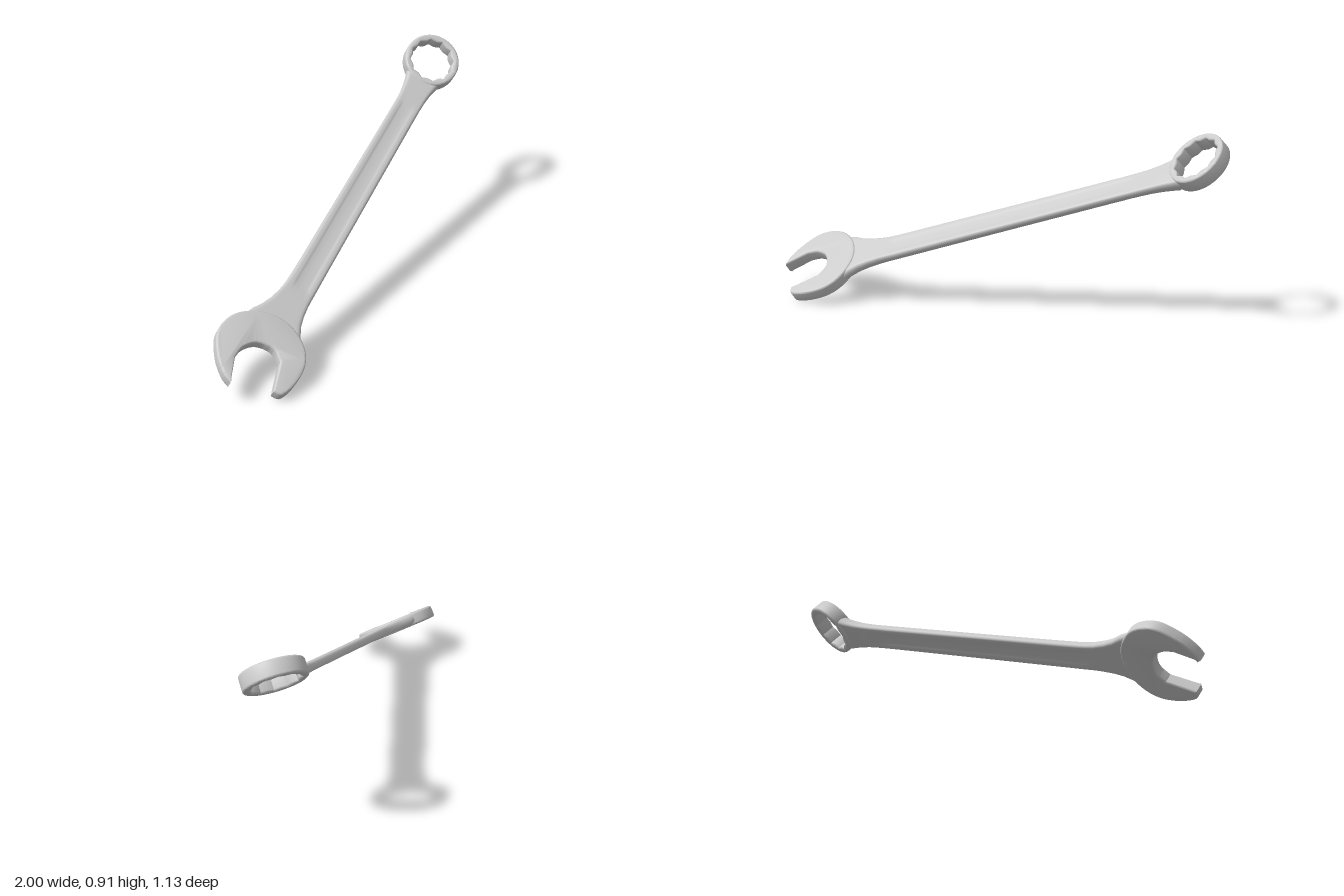
import * as THREE from 'three';
import { toCreasedNormals } from 'three/addons/utils/BufferGeometryUtils.js';

const material = new THREE.MeshStandardMaterial({ color: 0xcccccc, roughness: 0.5, metalness: 0.2 });

const points = (list) => list.map(([x, y]) => new THREE.Vector2(x, y));

// Flat part of a given thickness, centred on z = 0, with rounded rims
function plate(shape, thickness, bevel, curveSegments) {
  const geometry = new THREE.ExtrudeGeometry(shape, {
    depth: thickness - 2 * bevel,
    bevelThickness: bevel,
    bevelSize: bevel,
    bevelOffset: -bevel,
    bevelSegments: 4,
    curveSegments,
  });
  geometry.translate(0, 0, bevel - thickness / 2);
  return toCreasedNormals(geometry, 0.6);
}

// Open jaw, its mouth turned 15 degrees from the handle
function openJaw() {
  const shape = new THREE.Shape();
  shape.moveTo(-1.132, 0.056);
  shape.lineTo(-1.015, 0.096);
  shape.splineThru(points([[-0.954, 0.088], [-0.9, 0.044], [-0.887, -0.03], [-0.924, -0.083]]));
  shape.lineTo(-1.064, -0.122);
  shape.splineThru(points([
    [-1.052, -0.165], [-0.968, -0.19], [-0.872, -0.186], [-0.8, -0.145], [-0.75, -0.07], [-0.735, 0.02],
    [-0.765, 0.12], [-0.842, 0.2], [-0.95, 0.22], [-1.047, 0.17], [-1.11, 0.105], [-1.132, 0.056],
  ]));
  const mesh = new THREE.Mesh(plate(shape, 0.062, 0.011, 8), material);
  mesh.name = 'openJaw';
  return mesh;
}

// Ring end with a twelve-point hole, tilted up from the handle
function ringEnd() {
  const shape = new THREE.Shape();
  shape.absarc(0, 0, 0.141, 0, Math.PI * 2);
  const hole = [];
  for (let i = 0; i < 24; i++) {
    const r = i % 2 ? 0.104 : 0.114;
    const angle = (i / 24) * Math.PI * 2;
    hole.push(new THREE.Vector2(r * Math.cos(angle), r * Math.sin(angle)));
  }
  shape.holes.push(new THREE.Path(hole));
  const mesh = new THREE.Mesh(plate(shape, 0.076, 0.01, 40), material);
  mesh.position.set(1.02, 0.012, 0.029);
  mesh.rotation.y = -Math.PI / 12;
  mesh.name = 'ringEnd';
  return mesh;
}

// Handle lofted along x, flaring into both heads, with a shallow groove on each face
function handle() {
  // position, lower edge, upper edge, half thickness, groove depth, bow of the section
  const stations = [
    [-0.79, -0.13, 0.155, 0.026, 0, 0],
    [-0.755, -0.108, 0.143, 0.025, 0, 0],
    [-0.71, -0.088, 0.117, 0.024, 0, 0],
    [-0.66, -0.077, 0.097, 0.023, 0, 0],
    [-0.6, -0.071, 0.082, 0.022, 0, 0],
    [-0.56, -0.07, 0.076, 0.021, 0.02, 0],
    [-0.52, -0.07, 0.073, 0.021, 0.28, 0],
    [-0.4, -0.069, 0.071, 0.021, 0.28, 0],
    [0.1, -0.067, 0.069, 0.02, 0.28, 0],
    [0.62, -0.065, 0.067, 0.02, 0.28, 0],
    [0.68, -0.065, 0.067, 0.02, 0.24, 0],
    [0.72, -0.065, 0.067, 0.021, 0, 0],
    [0.78, -0.067, 0.07, 0.022, 0, 0.5],
    [0.83, -0.072, 0.077, 0.025, 0, 1.5],
    [0.87, -0.08, 0.088, 0.028, 0, 2.5],
    [0.897, -0.087, 0.102, 0.03, 0, 3],
  ];
  // half section: across, height, share of the groove
  const half = [
    [1, 0, 0], [0.985, 0.45, 0], [0.94, 0.8, 0], [0.86, 0.97, 0], [0.76, 1, 0], [0.6, 1, 0],
    [0.5, 1, 0.4], [0.38, 1, 1], [0, 1, 1],
  ];
  const top = [...half, ...half.slice(0, -1).reverse().map(([x, y, g]) => [-x, y, g])];
  const section = [...top, ...top.slice(1, -1).reverse().map(([x, y, g]) => [x, -y, g])];

  const position = [];
  const index = [];
  const n = section.length;
  stations.forEach(([a, low, high, thick, groove, bow], i) => {
    section.forEach(([across, up, g], j) => {
      const b = (low + high) / 2 + (across * (high - low)) / 2;
      position.push(a + bow * b * b, b, thick * up * (1 - groove * g));
      if (i === stations.length - 1) return;
      const p = i * n + j;
      const q = i * n + ((j + 1) % n);
      index.push(p, q, p + n, q, q + n, p + n);
    });
  });
  const geometry = new THREE.BufferGeometry();
  geometry.setAttribute('position', new THREE.Float32BufferAttribute(position, 3));
  geometry.setIndex(index);
  geometry.computeVertexNormals();
  const mesh = new THREE.Mesh(geometry, material);
  mesh.name = 'handle';
  return mesh;
}

export function createModel() {
  const wrench = new THREE.Group();
  wrench.name = 'combinationWrench';
  wrench.add(openJaw(), handle(), ringEnd());

  // Lean the flat tool: x runs along the handle, z out of its face
  const along = new THREE.Vector3(1, 0.375, -0.5).normalize();
  const face = new THREE.Vector3(-0.037, 1, 0.676).normalize();
  const across = new THREE.Vector3().crossVectors(face, along).normalize();
  face.crossVectors(along, across);
  wrench.quaternion.setFromRotationMatrix(new THREE.Matrix4().makeBasis(along, across, face));
  wrench.position.set(0, 0.443, -0.013);

  const model = new THREE.Group();
  model.name = 'wrenchModel';
  model.add(wrench);
  return model;
}
